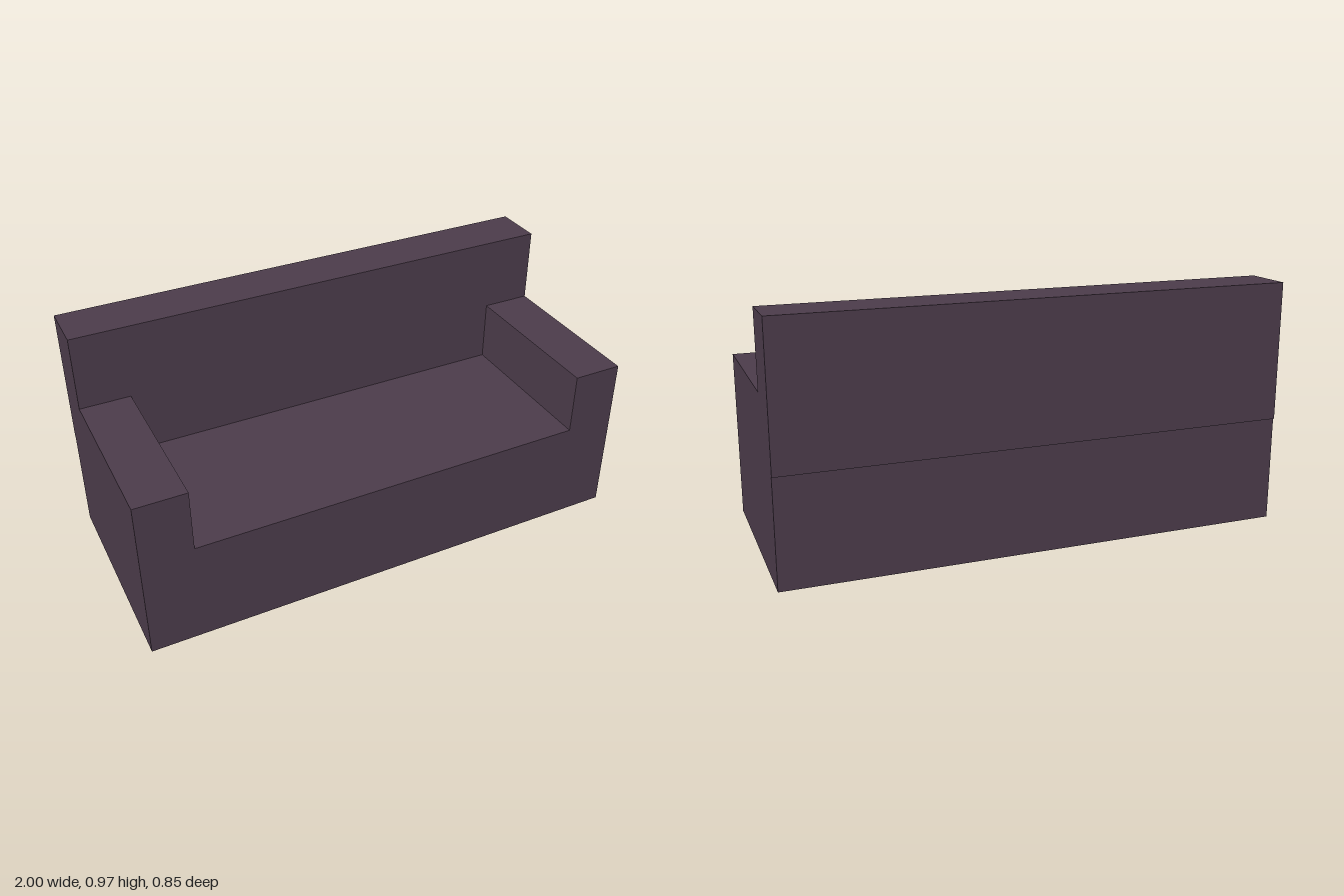
import * as THREE from 'three';

export function createModel() {
  const sofa = new THREE.Group();
  sofa.name = 'sofa';
  const fabric = new THREE.MeshStandardMaterial({ color: 0x4c3c4b });
  fabric.name = 'plum fabric';

  // Box given by its lower and upper limits on each axis
  const addBox = (name, [x0, x1], [y0, y1], [z0, z1]) => {
    const mesh = new THREE.Mesh(new THREE.BoxGeometry(x1 - x0, y1 - y0, z1 - z0), fabric);
    mesh.position.set((x0 + x1) / 2, (y0 + y1) / 2, (z0 + z1) / 2);
    mesh.name = name;
    sofa.add(mesh);
  };

  const front = 0.427, back = -0.427, backrestFront = -0.227, seatTop = 0.42;

  // The base stops slightly short of the backrest at the rear
  addBox('seatBase', [-1, 1], [0, seatTop], [-0.421, front]);
  addBox('backrest', [-1, 1], [seatTop, 0.97], [back, backrestFront]);

  // Armrests run from the backrest to the front edge
  addBox('leftArmrest', [0.8, 1], [seatTop, 0.67], [backrestFront, front]);
  addBox('rightArmrest', [-1, -0.8], [seatTop, 0.67], [backrestFront, front]);

  return sofa;
}
